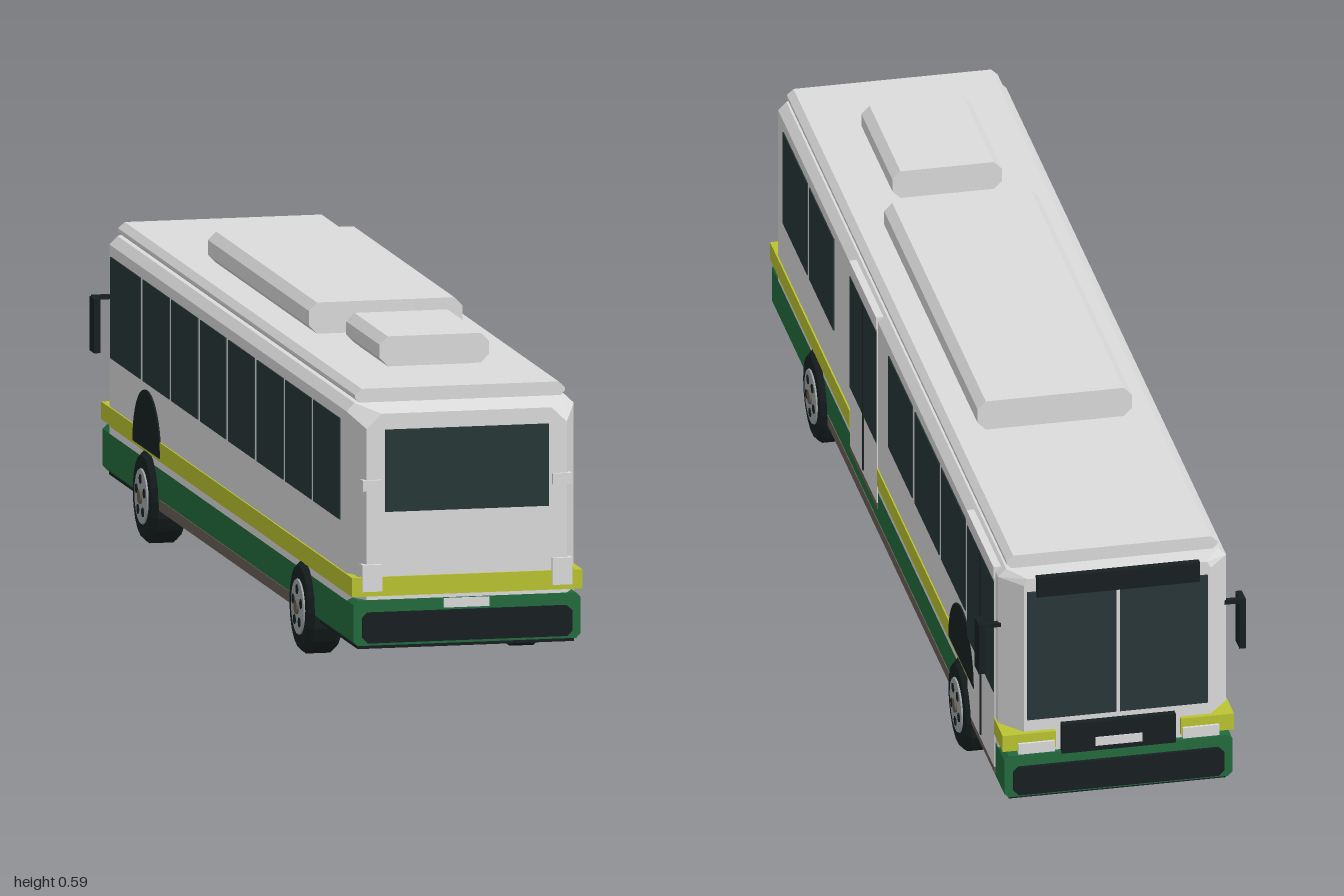
import * as THREE from 'three';
import { ConvexGeometry } from 'three/addons/geometries/ConvexGeometry.js';

const paint = (name, color) => {
  const m = new THREE.MeshStandardMaterial({ color });
  m.name = name;
  return m;
};

export function createModel() {
  const white = paint('body white', 0xdcdcdc);
  const green = paint('skirt green', 0x236b3e);
  const yellow = paint('stripe yellow', 0xbcc432);
  const glass = paint('dark glass', 0x283738);
  const black = paint('black rubber', 0x182022);
  const brown = paint('sill brown', 0x6a6058);
  const grey = paint('rim grey', 0xa4a8aa);

  const bus = new THREE.Group();
  bus.name = 'bus';

  const add = (name, geo, mat, parent = bus) => {
    const mesh = new THREE.Mesh(geo, mat);
    mesh.name = name;
    parent.add(mesh);
    return mesh;
  };
  // Box given by its limits on each axis
  const box = (name, mat, x0, x1, y0, y1, z0, z1) => {
    const mesh = add(name, new THREE.BoxGeometry(x1 - x0, y1 - y0, z1 - z0), mat);
    mesh.position.set((x0 + x1) / 2, (y0 + y1) / 2, (z0 + z1) / 2);
    return mesh;
  };
  // The same box on both sides of the bus
  const pair = (name, mat, x0, x1, ...rest) => {
    box(name + 'Left', mat, x0, x1, ...rest);
    box(name + 'Right', mat, -x1, -x0, ...rest);
  };
  // Prism along z whose cross-section is a rectangle with cut corners
  const prism = (name, mat, w, y0, y1, z0, z1, cx, cy) => {
    const s = new THREE.Shape([
      [-w + cx, y0], [w - cx, y0], [w, y0 + cy], [w, y1 - cy],
      [w - cx, y1], [-w + cx, y1], [-w, y1 - cy], [-w, y0 + cy],
    ].map(([x, y]) => new THREE.Vector2(x, y)));
    const mesh = add(name, new THREE.ExtrudeGeometry(s, { depth: z1 - z0, bevelEnabled: false }), mat);
    mesh.position.z = z0;
    return mesh;
  };

  // Body shell: four cross-sections, tapering at both ends
  const sections = [
    // z, half width, top half width, shoulder height, top height
    [0.992, 0.185, 0.157, 0.47, 0.497],
    [0.94, 0.21, 0.195, 0.495, 0.51],
    [-0.94, 0.21, 0.195, 0.495, 0.51],
    [-0.985, 0.172, 0.165, 0.495, 0.508],
  ];
  const hull = [];
  for (const [z, w, tw, sy, ty] of sections) {
    for (const s of [-1, 1]) {
      hull.push(new THREE.Vector3(s * w, 0.15, z), new THREE.Vector3(s * w, sy, z), new THREE.Vector3(s * tw, ty, z));
    }
  }
  add('bodyShell', new ConvexGeometry(hull), white);

  // Skirt, floor and sills
  prism('skirt', green, 0.21, 0.075, 0.158, -0.994, 0.994, 0.008, 0.008);
  box('floor', black, -0.2, 0.2, 0.068, 0.077, -0.985, 0.985);
  pair('sill', brown, 0.205, 0.2115, 0.074, 0.094, -0.54, 0.51);

  // Roof plate and roof units
  prism('roofPlate', white, 0.194, 0.507, 0.535, -0.94, 0.94, 0.012, 0.011);
  prism('mainRoofUnit', white, 0.142, 0.538, 0.595, -0.45, 0.35, 0.015, 0.015);
  prism('rearRoofUnit', white, 0.101, 0.54, 0.594, 0.47, 0.735, 0.015, 0.015);
  box('mainUnitMount', white, -0.11, 0.11, 0.53, 0.541, -0.42, 0.32);
  box('rearUnitMount', white, -0.08, 0.08, 0.53, 0.543, 0.49, 0.71);

  // Yellow stripe, broken at the doors on the left side
  box('stripeRearLeft', yellow, 0.2, 0.213, 0.165, 0.2, 0.315, 0.996);
  box('stripeMiddleLeft', yellow, 0.2, 0.2125, 0.165, 0.2, -0.69, 0.085);
  box('stripeRearRight', yellow, -0.213, -0.2, 0.165, 0.2, 0.37, 0.996);
  box('stripeMiddleRight', yellow, -0.2125, -0.2, 0.165, 0.2, -0.92, 0.37);
  box('stripeRear', yellow, -0.213, 0.213, 0.165, 0.2, 0.985, 0.996);
  pair('stripeFrontCorner', yellow, 0.115, 0.213, 0.168, 0.2, -0.994, -0.92);

  // Side windows
  const shared = [[0.684, 0.893], [0.46, 0.668], [-0.214, -0.01], [-0.444, -0.235], [-0.668, -0.46]];
  for (const [z0, z1] of shared) pair('sideWindow', glass, 0.206, 0.212, 0.29, 0.475, z0, z1);
  for (const [z0, z1] of [[0.235, 0.444], [0.01, 0.215], [-0.925, -0.688]]) {
    box('sideWindowRight', glass, -0.212, -0.206, 0.29, 0.475, z0, z1);
  }

  // Double doors on the left side
  const door = (name, z0, z1, bottom) => {
    const mid = (z0 + z1) / 2;
    box(name + 'Panel', white, 0.205, 0.2125, bottom, 0.485, z0, z1);
    box(name + 'Glass', glass, 0.206, 0.2135, 0.25, 0.475, z0 + 0.003, z1 - 0.003);
    box(name + 'Seam', black, 0.206, 0.2145, bottom + 0.01, 0.475, mid - 0.004, mid + 0.004);
    box(name + 'Cover', white, 0.19, 0.214, 0.482, 0.505, z0, z1);
    box(name + 'Step', brown, 0.205, 0.212, bottom - 0.012, bottom, z0, z1);
  };
  door('rearDoor', 0.085, 0.315, 0.13);
  door('frontDoor', -0.92, -0.69, 0.1);

  // Dark arches over the front wheels
  for (const s of [-1, 1]) {
    const arch = add('frontWheelArch', new THREE.CylinderGeometry(0.108, 0.108, 0.005, 20, 1, false, 0, Math.PI), black);
    arch.rotation.z = Math.PI / 2;
    arch.position.set(s * 0.2105, 0.17, -0.637);
  }

  // Wheels: tyre turned around the axle, rim, bolt holes and cap
  const tyreProfile = [[0.05, -0.032], [0.075, -0.032], [0.085, -0.022], [0.085, 0.022], [0.075, 0.032], [0.05, 0.032]]
    .map(([r, y]) => new THREE.Vector2(r, y));
  const tyreGeo = new THREE.LatheGeometry(tyreProfile, 18).toNonIndexed();
  tyreGeo.computeVertexNormals();
  for (const s of [-1, 1]) {
    for (const z of [0.605, -0.637]) {
      const wheel = new THREE.Group();
      wheel.name = 'wheel';
      add('tyre', tyreGeo, black, wheel);
      add('tyreBack', new THREE.CylinderGeometry(0.055, 0.055, 0.058, 18), black, wheel);
      add('rim', new THREE.CylinderGeometry(0.05, 0.053, 0.008, 18), grey, wheel).position.y = 0.031;
      add('hubCap', new THREE.CylinderGeometry(0.013, 0.015, 0.008, 10), brown, wheel).position.y = 0.035;
      for (let i = 0; i < 5; i++) {
        const a = (i / 5) * Math.PI * 2;
        add('rimHole', new THREE.CylinderGeometry(0.009, 0.009, 0.002, 8), black, wheel)
          .position.set(Math.cos(a) * 0.032, 0.0355, Math.sin(a) * 0.032);
      }
      wheel.rotation.z = -s * Math.PI / 2;
      wheel.position.set(s * 0.188, 0.085, z);
      bus.add(wheel);
    }
  }

  // Engine end: window, lamps, number plate
  box('rearWindow', glass, -0.151, 0.151, 0.318, 0.468, 0.988, 0.995);
  prism('rearBumper', black, 0.194, 0.08, 0.136, 0.99, 1, 0.01, 0.01);
  pair('tailLamp', white, 0.157, 0.194, 0.174, 0.223, 0.975, 1);
  pair('upperLamp', white, 0.158, 0.193, 0.357, 0.377, 0.975, 0.998);
  box('rearPlate', white, -0.043, 0.041, 0.14, 0.157, 0.99, 0.998);

  // Driving end: windscreen halves, sign, lamps, grille, plate
  box('windscreen', glass, -0.166, 0.166, 0.225, 0.482, -0.99, -0.982);
  box('windscreenDivider', white, -0.003, 0.003, 0.225, 0.478, -0.992, -0.985);
  box('destinationSign', black, -0.15, 0.15, 0.475, 0.514, -0.997, -0.984);
  box('grille', black, -0.105, 0.105, 0.155, 0.213, -0.998, -0.98);
  box('frontPlate', white, -0.043, 0.043, 0.165, 0.182, -1, -0.995);
  pair('headLamp', white, 0.118, 0.185, 0.162, 0.183, -0.999, -0.98);
  prism('frontBumper', black, 0.194, 0.08, 0.136, -1, -0.99, 0.01, 0.01);

  // Mirrors on short arms
  pair('mirrorArm', black, 0.2, 0.243, 0.396, 0.404, -0.945, -0.935);
  pair('mirror', black, 0.234, 0.246, 0.303, 0.402, -0.943, -0.907);

  return bus;
}
